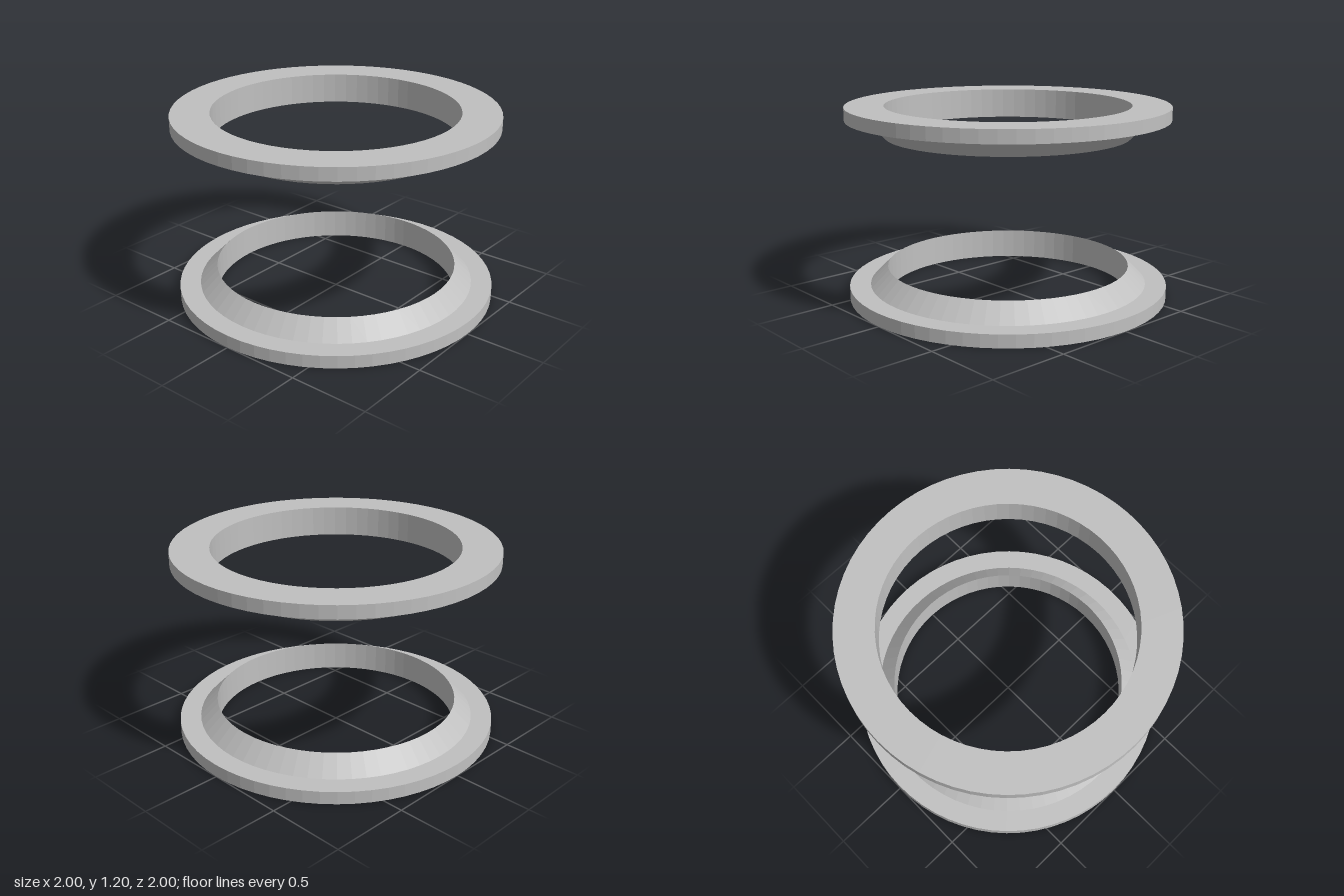
import * as THREE from 'three';

const HEIGHT = 1.2;
const SEGMENTS = 64;

// Closed ring cross-section as [radius, y], counter-clockwise from the inner foot
const PROFILE = [
  [0.76, 0], [1, 0], [1, 0.08], [0.87, 0.08], [0.76, 0.19], [0.76, 0],
];

// Faceted ring turned from a profile
function ring(name, profile, material) {
  const points = profile.map(([r, y]) => new THREE.Vector2(r, y));
  const geometry = new THREE.LatheGeometry(points, SEGMENTS).toNonIndexed();
  geometry.computeVertexNormals();
  const mesh = new THREE.Mesh(geometry, material);
  mesh.name = name;
  return mesh;
}

export function createModel() {
  const model = new THREE.Group();
  model.name = 'flangedRingPair';
  const grey = new THREE.MeshStandardMaterial({ color: 0xc0c0c0, flatShading: true });
  grey.name = 'light grey';

  // Lower ring, bevelled collar pointing up
  model.add(ring('lowerRing', PROFILE, grey));

  // Upper ring, mirrored so its collar points down
  const mirrored = PROFILE.map(([r, y]) => [r, HEIGHT - y]).reverse();
  model.add(ring('upperRing', mirrored, grey));

  return model;
}
